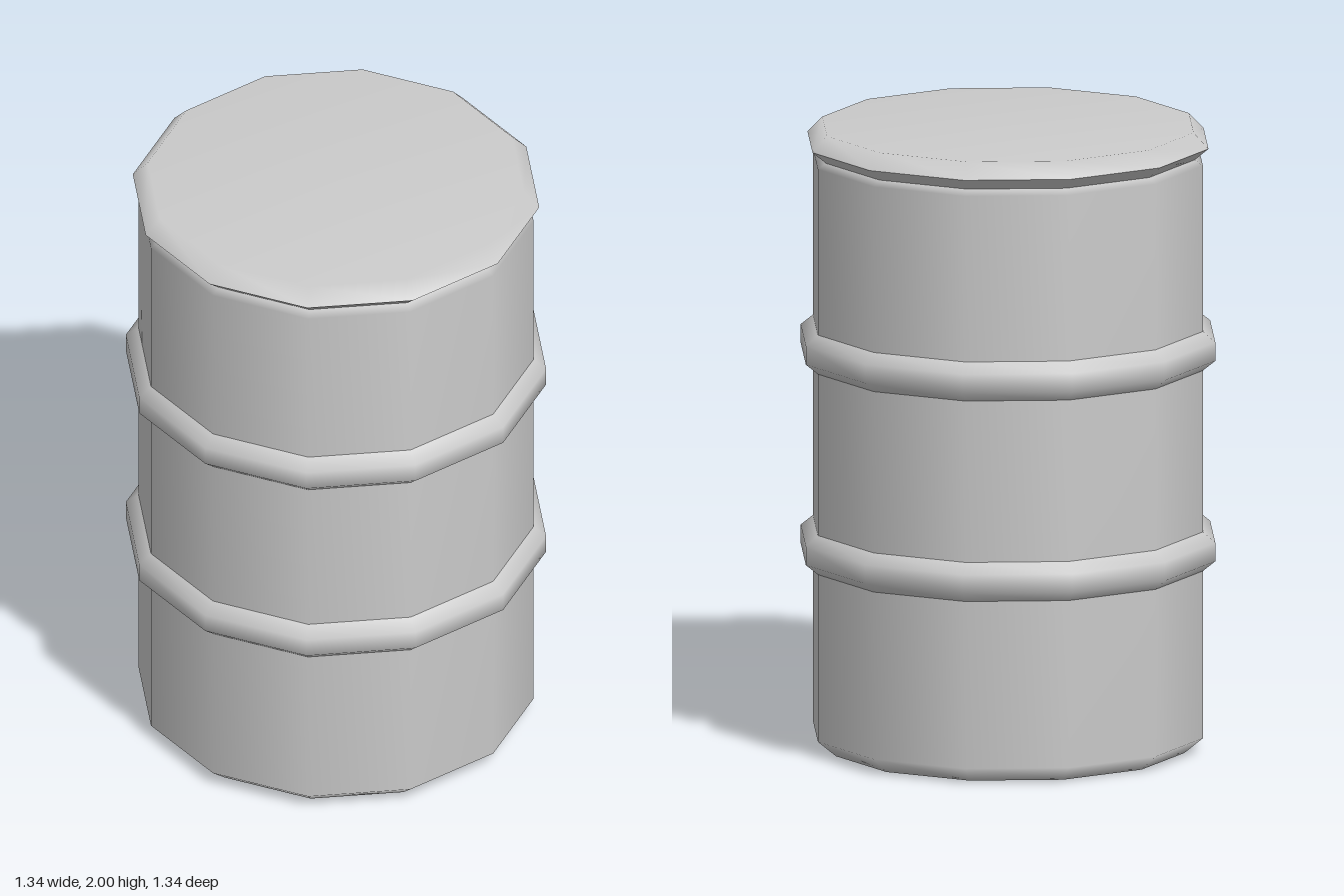
import * as THREE from 'three';

const SIDES = 12;
const material = new THREE.MeshStandardMaterial({ color: 0xcccccc });

// Twelve-sided turned part from [radius, height] pairs, bottom to top
function turned(name, profile) {
  const points = profile.map(([r, y]) => new THREE.Vector2(r, y));
  const mesh = new THREE.Mesh(new THREE.LatheGeometry(points, SIDES), material);
  mesh.name = name;
  return mesh;
}

export function createModel() {
  const barrel = new THREE.Group();
  barrel.name = 'barrel';

  // Body with a bevelled, closed bottom and a narrow neck under the lid
  barrel.add(turned('body', [[0, 0], [0.57, 0], [0.63, 0.05], [0.63, 1.895], [0.6, 1.915]]));

  // Two raised hoops around the body
  [['lowerHoop', 0.652], ['upperHoop', 1.298]].forEach(([name, y]) => {
    const hoop = turned(name, [[0.63, -0.063], [0.67, -0.03], [0.67, 0.03], [0.63, 0.063]]);
    hoop.position.y = y;
    barrel.add(hoop);
  });

  // Lid: flared underside and softly shaded top, with a sharp edge between
  barrel.add(turned('lidUnderside', [[0.6, 1.91], [0.648, 1.95]]));
  barrel.add(turned('lid', [[0.648, 1.95], [0.6, 2], [0, 2]]));

  return barrel;
}
